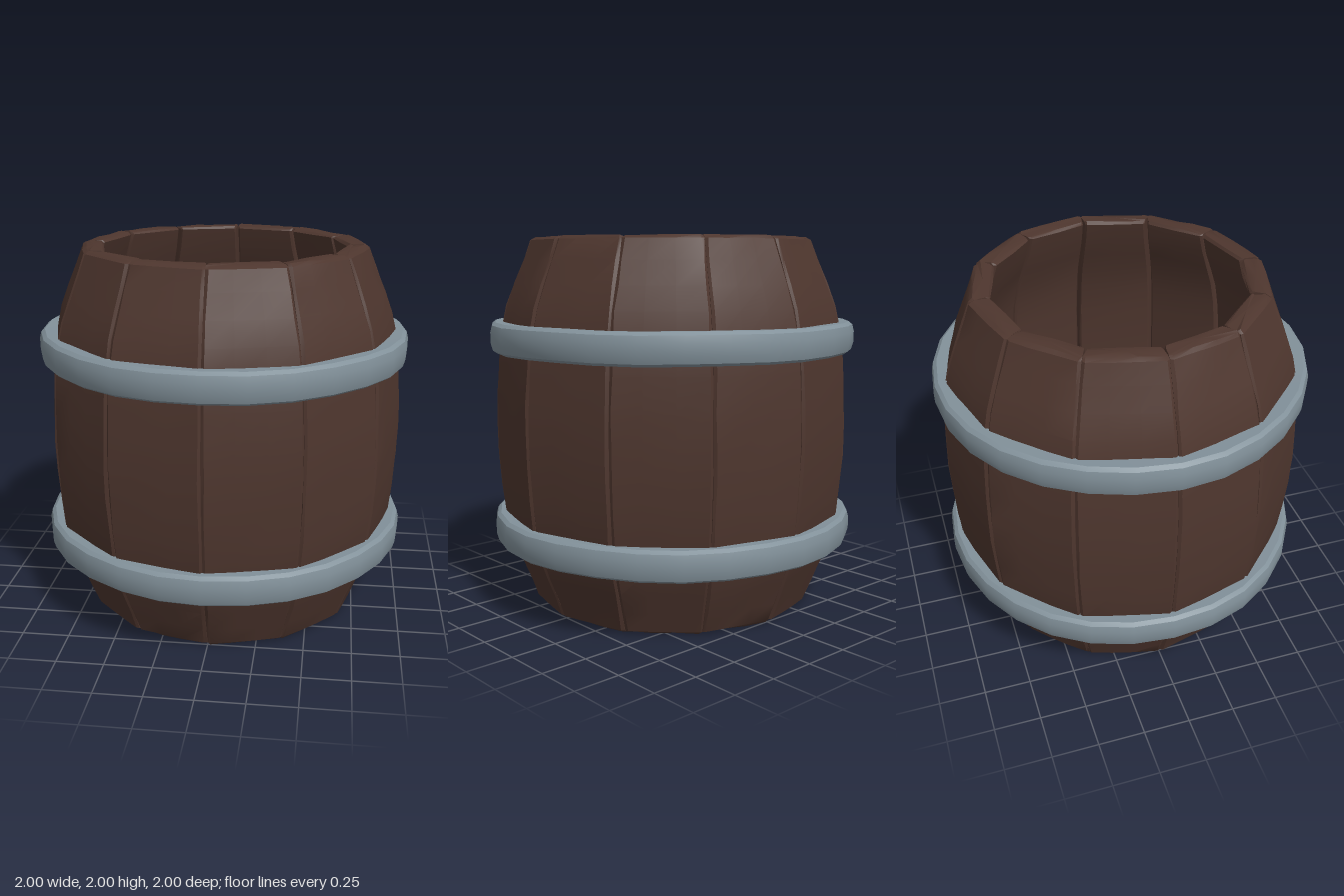
import * as THREE from 'three';
import { toCreasedNormals } from 'three/addons/utils/BufferGeometryUtils.js';

const STAVES = 12;
const HALF = Math.PI / STAVES;

// Corner radius of the staves at each height: [y, outer, inner]
const lower = [
  [0, 0.75, 0.672], [0.018, 0.772, 0.66], [0.12, 0.812, 0.69], [0.24, 0.862, 0.74],
  [0.36, 0.908, 0.79], [0.5, 0.94, 0.825], [0.66, 0.957, 0.845], [0.84, 0.969, 0.855],
];
const profile = [
  ...lower,
  [1, 0.973, 0.86],
  ...lower.map(([y, o, i]) => [2 - y, o, i]).reverse(),
];

function makeRandom(seed) {
  return () => {
    seed = (seed * 16807) % 2147483647;
    return seed / 2147483647 - 0.5;
  };
}

// One plank facing +z, lofted from chamfered cross-sections with slightly worn edges
function staveGeometry(seed) {
  const rand = makeRandom(seed);
  const pos = [], index = [];
  const last = profile.length - 1;
  const gap = 0.004, c = 0.012;
  profile.forEach(([y, ro, ri], k) => {
    const zo = ro * Math.cos(HALF), zi = ri * Math.cos(HALF);
    const wo = ro * Math.sin(HALF) - gap, wi = ri * Math.sin(HALF) - gap;
    const l = rand() * 0.008, r = rand() * 0.008;
    const loop = [
      [-wo, zo - c], [-wo + c + l, zo], [-wo * 0.35, zo + 0.004], [wo * 0.3, zo + 0.004],
      [wo - c + r, zo], [wo, zo - c],
      [wi, zi + c], [wi - c, zi], [0, zi - 0.003], [-wi + c, zi], [-wi, zi + c],
    ];
    const end = k === 0 ? 1 : k === last ? -1 : 0;
    for (const [x, z] of loop) {
      pos.push(x, y + end * (rand() + 0.5) * 0.012, z + rand() * 0.006);
    }
  });
  const n = pos.length / 3 / profile.length;
  for (let k = 0; k < last; k++) {
    for (let j = 0; j < n; j++) {
      const a = k * n + j, b = k * n + (j + 1) % n;
      index.push(a, b, b + n, a, b + n, a + n);
    }
  }
  // End grain caps, fanned from a centre point
  for (const [row, flip] of [[0, true], [last, false]]) {
    const [y, ro, ri] = profile[row];
    const centre = pos.length / 3;
    pos.push(0, y, (ro + ri) / 2 * Math.cos(HALF));
    for (let j = 0; j < n; j++) {
      const a = row * n + j, b = row * n + (j + 1) % n;
      index.push(centre, flip ? b : a, flip ? a : b);
    }
  }
  const geo = new THREE.BufferGeometry();
  geo.setAttribute('position', new THREE.Float32BufferAttribute(pos, 3));
  geo.setIndex(index);
  return toCreasedNormals(geo, 0.5);
}

// Rounded iron band, with gentle hammered unevenness
function hoopGeometry(phase) {
  const section = [
    [0.9, -0.08], [0.965, -0.082], [0.985, -0.068], [0.996, -0.03], [0.997, 0.03],
    [0.988, 0.066], [0.968, 0.082], [0.9, 0.08], [0.9, -0.08],
  ].map(([x, y]) => new THREE.Vector2(x, y));
  const geo = new THREE.LatheGeometry(section, 28);
  const p = geo.attributes.position;
  for (let i = 0; i < p.count; i++) {
    const x = p.getX(i), z = p.getZ(i);
    const t = Math.atan2(x, z);
    const s = 1 + 0.003 * Math.sin(5 * t + phase);
    p.setXYZ(i, x * s, p.getY(i) + 0.002 * Math.sin(7 * t + phase), z * s);
  }
  return toCreasedNormals(geo, 0.6);
}

export function createModel() {
  const wood = new THREE.MeshStandardMaterial({ color: 0x4e362e });
  wood.name = 'darkWood';
  const iron = new THREE.MeshStandardMaterial({ color: 0x82919a });
  iron.name = 'greyIron';

  const barrel = new THREE.Group();
  barrel.name = 'barrel';

  // Staves
  for (let i = 0; i < STAVES; i++) {
    const stave = new THREE.Mesh(staveGeometry(1237 + i * 7919), wood);
    stave.name = `stave${i + 1}`;
    stave.rotation.y = (2 * i + 1) * HALF;
    barrel.add(stave);
  }

  // Hoops
  [['lowerHoop', 0.43, 0.4], ['upperHoop', 1.47, 2.1]].forEach(([name, y, phase]) => {
    const hoop = new THREE.Mesh(hoopGeometry(phase), iron);
    hoop.name = name;
    hoop.position.y = y;
    barrel.add(hoop);
  });

  // Floor of the open barrel
  const floor = new THREE.Mesh(new THREE.CylinderGeometry(0.64, 0.64, 0.04, 48), wood);
  floor.name = 'floor';
  floor.position.y = 0.11;
  barrel.add(floor);

  return barrel;
}
